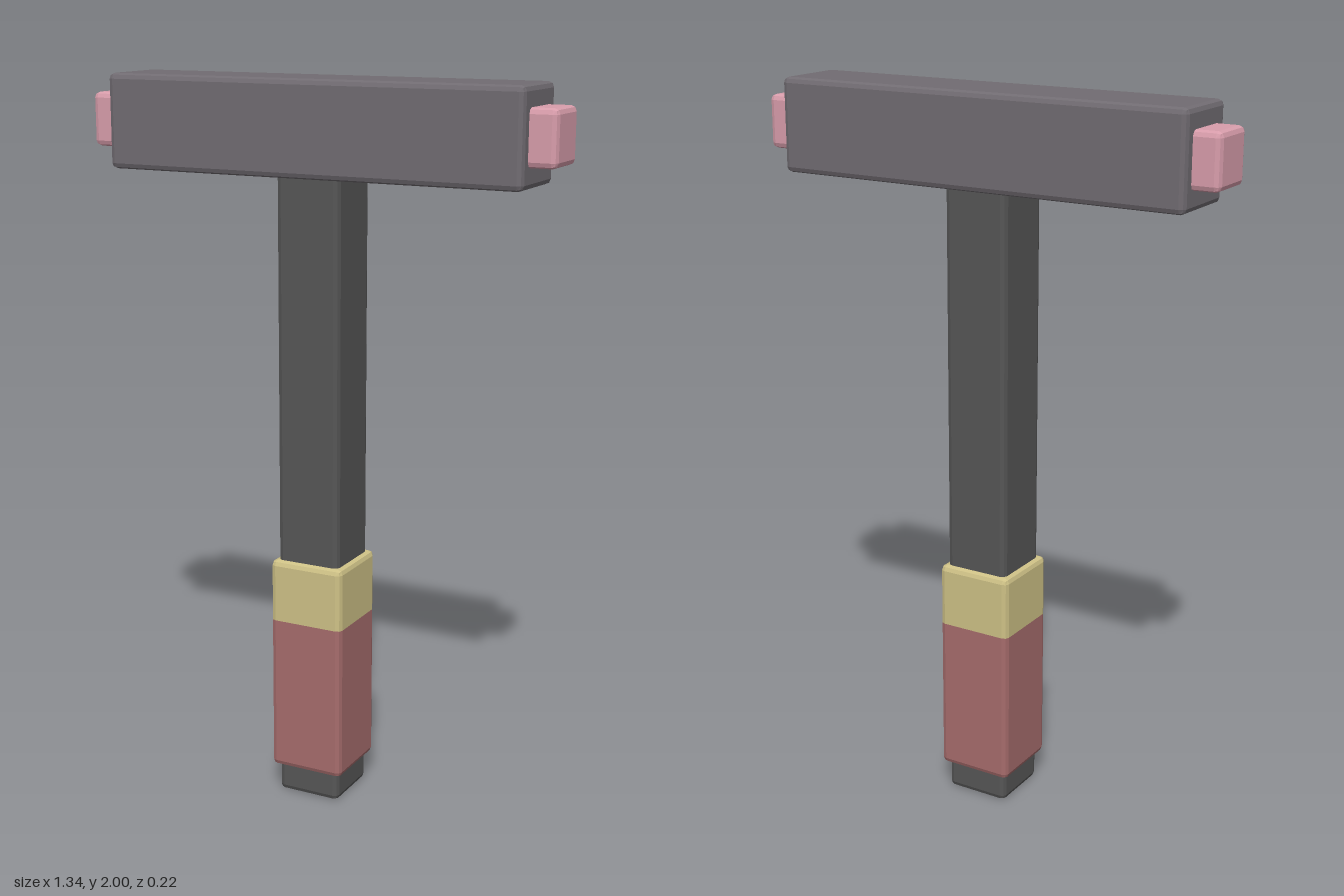
import * as THREE from 'three';
import { RoundedBoxGeometry } from 'three/addons/geometries/RoundedBoxGeometry.js';

const RADIUS = 0.015;

// Bevelled block between y0 and y1; 'square' names an end left unbevelled.
function block(name, color, width, depth, y0, y1, square = null) {
  const low = square === 'bottom' ? y0 - RADIUS : y0;
  const high = square === 'top' ? y1 + RADIUS : y1;
  const geometry = new RoundedBoxGeometry(width, high - low, depth, 1, RADIUS);
  geometry.translate(0, (low + high) / 2, 0);
  const position = geometry.attributes.position;
  for (let i = 0; i < position.count; i++) {
    position.setY(i, THREE.MathUtils.clamp(position.getY(i), y0, y1));
  }
  geometry.computeVertexNormals();
  const mesh = new THREE.Mesh(geometry, new THREE.MeshStandardMaterial({ color, flatShading: true }));
  mesh.name = name;
  return mesh;
}

export function createModel() {
  const model = new THREE.Group();
  model.name = 'hammer';

  // Handle: shaft runs from the butt up into the head
  model.add(block('shaft', 0x565656, 0.184, 0.184, 0, 1.79));
  model.add(block('grip', 0xa66c6c, 0.216, 0.216, 0.08, 0.52, 'top'));
  model.add(block('collar', 0xcec186, 0.216, 0.216, 0.52, 0.695, 'bottom'));

  // Head with a striking face at each end
  model.add(block('head', 0x716c72, 1.195, 0.216, 1.745, 2));
  for (const [name, side] of [['leftStrikingFace', 1], ['rightStrikingFace', -1]]) {
    const face = block(name, 0xd89dab, 0.146, 0.146, 1.8, 1.946);
    face.position.x = side * 0.598;
    model.add(face);
  }
  return model;
}
